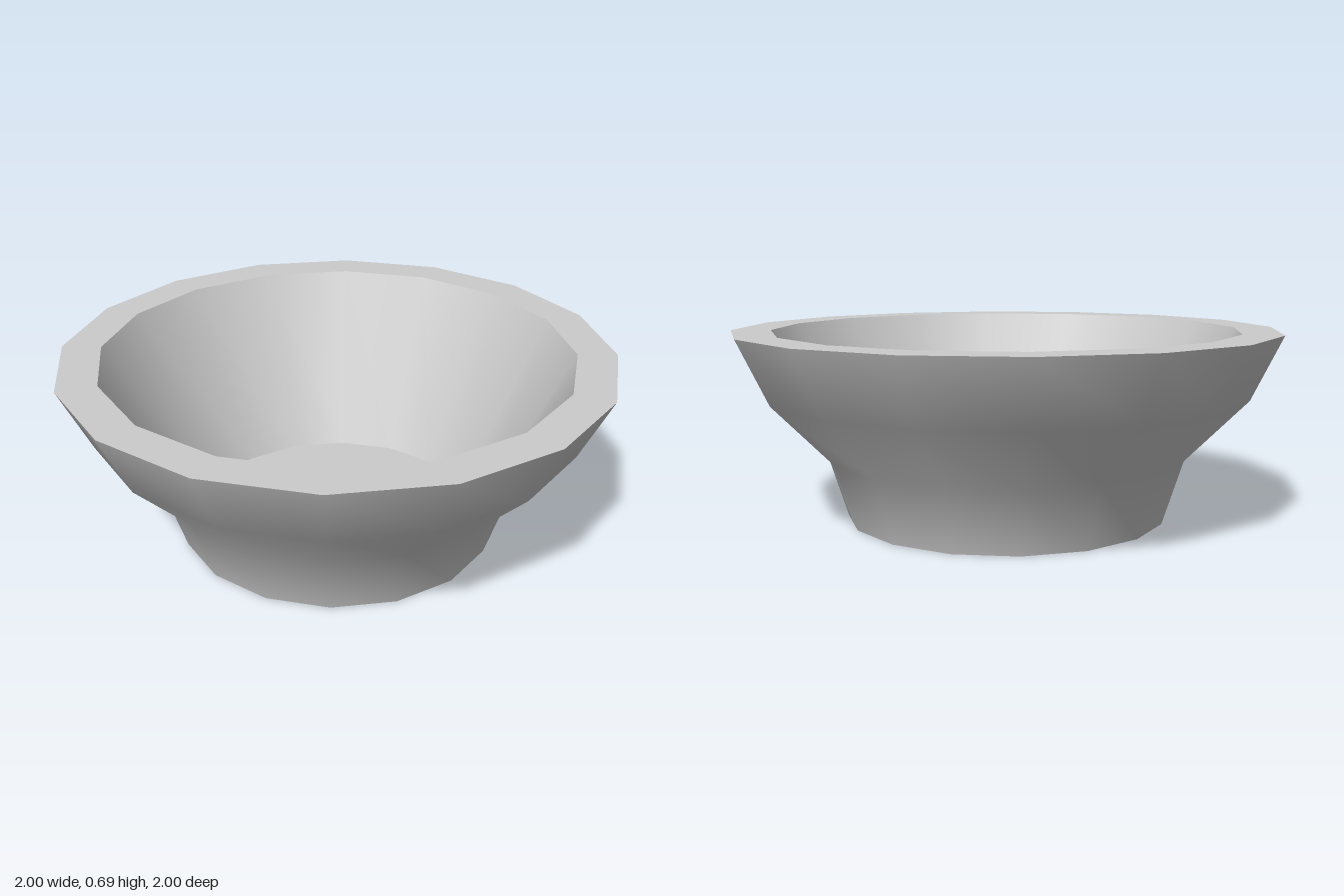
import * as THREE from 'three';

const SIDES = 16;

// Each profile runs base centre -> outside -> rim -> inside -> floor centre,
// kept as separate lathes so the edges between them stay sharp.
const PROFILES = {
  base: [[0, 0], [0.592, 0]],
  outerWall: [[0.592, 0], [0.667, 0.237], [0.89, 0.465], [1, 0.695]],
  rim: [[1, 0.695], [0.857, 0.695]],
  innerWall: [[0.857, 0.695], [0.535, 0.03]],
  floor: [[0.535, 0.03], [0, 0.03]],
};

export function createModel() {
  const bowl = new THREE.Group();
  bowl.name = 'bowl';
  const material = new THREE.MeshStandardMaterial({ color: 0xcccccc });

  for (const [name, profile] of Object.entries(PROFILES)) {
    const points = profile.map(([r, y]) => new THREE.Vector2(r, y));
    const mesh = new THREE.Mesh(new THREE.LatheGeometry(points, SIDES), material);
    mesh.name = name;
    bowl.add(mesh);
  }
  return bowl;
}
